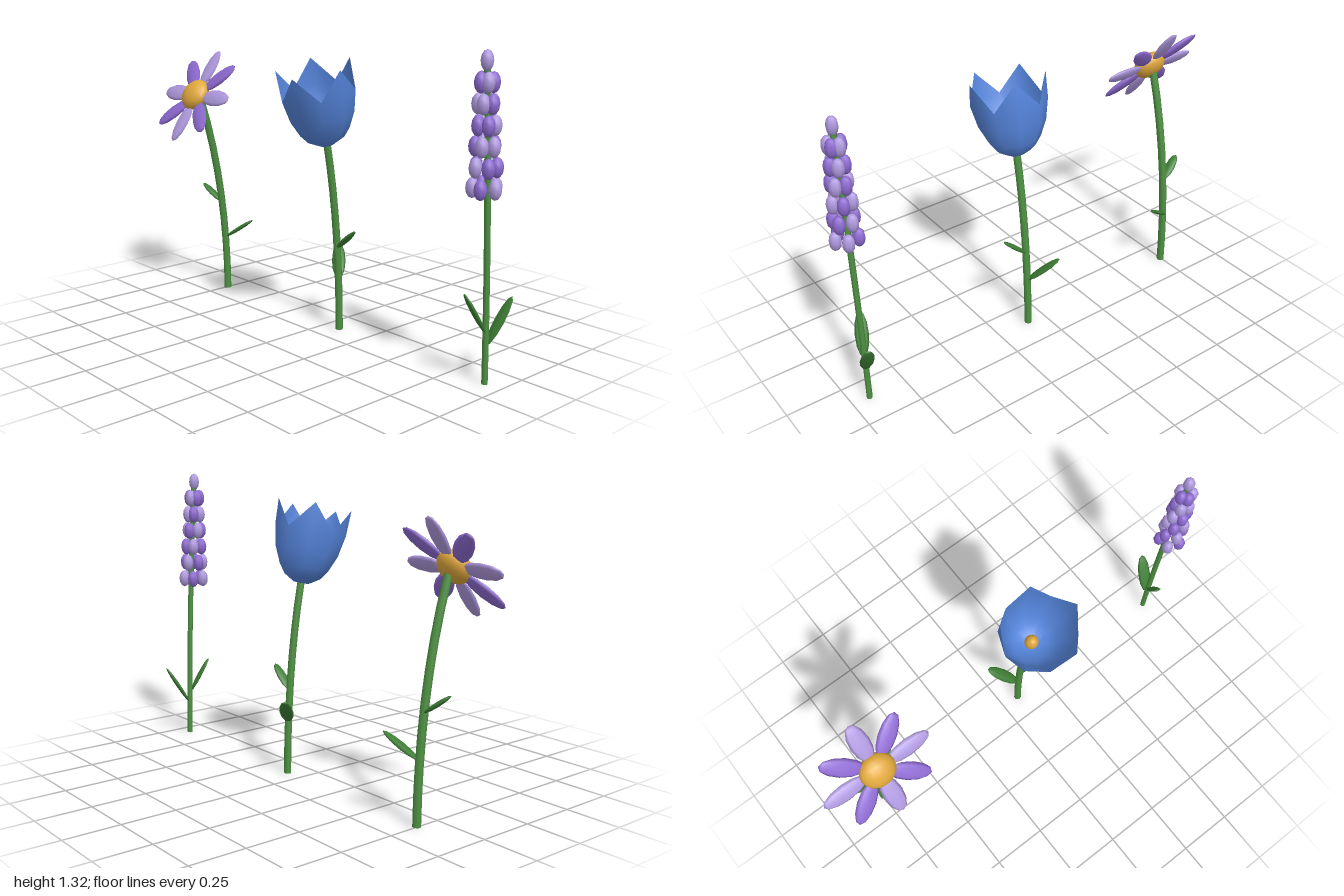
import * as THREE from 'three';
import { mergeGeometries } from 'three/addons/utils/BufferGeometryUtils.js';

const mat = (name, color) => Object.assign(new THREE.MeshStandardMaterial({ color }), { name });
const V = (x, y, z) => new THREE.Vector3(x, y, z);

export function createModel() {
  const stemGreen = mat('stem green', 0x4e9142);
  const leafGreen = mat('leaf green', 0x3d7d34);
  const paleViolet = mat('pale violet', 0xb09ae0);
  const deepViolet = mat('deep violet', 0x8e6bd2);
  const gold = mat('gold', 0xe0a83c);
  const blue = mat('tulip blue', 0x5585dc);
  blue.side = THREE.DoubleSide;

  const ball = new THREE.SphereGeometry(1, 8, 6);
  const roundBall = new THREE.SphereGeometry(1, 16, 10);

  function add(parent, name, geometry, material) {
    const mesh = new THREE.Mesh(geometry, material);
    mesh.name = name;
    parent.add(mesh);
    return mesh;
  }

  // Curved stem with a closed foot
  function stem(parent, from, control, to, radius) {
    const curve = new THREE.QuadraticBezierCurve3(from, control, to);
    const tube = new THREE.TubeGeometry(curve, 8, radius, 7);
    const foot = new THREE.CircleGeometry(radius, 7).rotateX(Math.PI / 2).translate(from.x, 0.001, from.z);
    add(parent, 'stem', mergeGeometries([tube, foot]), stemGreen);
  }

  // Flattened leaf stretched between its attachment and its tip
  function leaf(parent, from, to, width) {
    const dir = to.clone().sub(from);
    const length = dir.length();
    dir.normalize();
    const side = V(0, 1, 0).cross(dir).normalize();
    const normal = side.clone().cross(dir);
    const mesh = add(parent, 'leaf', ball, leafGreen);
    mesh.quaternion.setFromRotationMatrix(new THREE.Matrix4().makeBasis(side, dir, normal));
    mesh.position.copy(from).lerp(to, 0.5);
    mesh.scale.set(width / 2, length / 2, 0.01);
  }

  // Daisy: eight alternating petals around a flattened centre
  function daisy() {
    const g = new THREE.Group();
    g.name = 'daisy';
    const x = -0.747;
    stem(g, V(x, 0, -0.11), V(x, 0.55, -0.11), V(x, 0.985, 0.035), 0.018);
    leaf(g, V(x, 0.455, -0.085), V(-0.857, 0.54, -0.05), 0.05);
    leaf(g, V(x, 0.27, -0.105), V(-0.61, 0.37, -0.17), 0.058);

    const head = new THREE.Group();
    head.name = 'daisyHead';
    head.position.set(x, 1.006, 0.06);
    head.rotation.x = -0.61;
    for (let i = 0; i < 8; i++) {
      const a = (i * Math.PI) / 4;
      const petal = add(head, 'petal', ball, i % 2 ? deepViolet : paleViolet);
      petal.position.set(Math.cos(a) * 0.15, Math.sin(a) * 0.15, 0);
      petal.rotation.z = a - Math.PI / 2;
      petal.scale.set(0.043, 0.102, 0.014);
    }
    const centre = add(head, 'daisyCentre', roundBall, gold);
    centre.scale.set(0.078, 0.078, 0.05);
    centre.position.z = 0.006;
    g.add(head);
    return g;
  }

  // Cup wall: ten columns, the top row alternating between points and notches
  function cupGeometry() {
    const n = 10;
    const rows = [[0, 0], [0.002, 0.035], [0.03, 0.083], [0.07, 0.113], [0.14, 0.145], [0.235, 0.165]];
    const pos = [], index = [];
    for (let r = 0; r <= rows.length; r++) {
      for (let c = 0; c < n; c++) {
        const a = (c / n) * Math.PI * 2 + 0.04;
        const [h, rad] = r < rows.length ? rows[r] : c % 2 ? rows[r - 1] : [0.35, 0.17];
        pos.push(Math.cos(a) * rad, h, Math.sin(a) * rad);
        if (r === rows.length) continue;
        const d = (c + 1) % n, p = r * n + c, q = r * n + d;
        if (r < rows.length - 1) {
          if (r > 0) index.push(p, p + n, q);
          index.push(q, p + n, q + n);
        } else if (c % 2) index.push(p, q + n, q); // rising to the next point
        else index.push(p, p + n, q);              // falling from this point
      }
    }
    const geo = new THREE.BufferGeometry();
    geo.setAttribute('position', new THREE.Float32BufferAttribute(pos, 3));
    geo.setIndex(index);
    geo.computeVertexNormals();
    // unused top vertices above the notches borrow the rim normal
    return geo;
  }

  // Tulip: leaning cup with a golden stamen
  function tulip() {
    const g = new THREE.Group();
    g.name = 'tulip';
    const x = 0.087;
    stem(g, V(x, 0, -0.11), V(x, 0.5, -0.105), V(x, 0.872, -0.028), 0.017);
    leaf(g, V(x, 0.385, -0.095), V(0.203, 0.485, -0.09), 0.05);
    leaf(g, V(x, 0.24, -0.105), V(-0.018, 0.368, -0.205), 0.062);

    const head = new THREE.Group();
    head.name = 'tulipHead';
    head.position.set(x, 0.862, -0.03);
    head.rotation.x = 0.23;
    add(head, 'cup', cupGeometry(), blue);
    const stamen = add(head, 'stamen', roundBall, gold);
    stamen.position.y = 0.06;
    stamen.scale.set(0.03, 0.045, 0.03);
    g.add(head);
    return g;
  }

  // Lavender: rings of buds narrowing towards a single top bud
  function lavender() {
    const g = new THREE.Group();
    g.name = 'lavender';
    const x = 0.922;
    stem(g, V(x, 0, -0.11), V(x, 0.6, -0.1), V(x, 1.25, -0.055), 0.013);
    leaf(g, V(x, 0.215, -0.1), V(0.88, 0.385, -0.015), 0.058);
    leaf(g, V(x, 0.16, -0.11), V(0.957, 0.348, -0.22), 0.062);

    const rows = 6;
    for (let r = 0; r < rows; r++) {
      const ring = 0.048 - 0.0045 * r;
      for (let i = 0; i < 5; i++) {
        const a = (i / 5) * Math.PI * 2 + r * 0.63;
        const bud = add(g, 'bud', ball, (r + i) % 2 ? deepViolet : paleViolet);
        bud.position.set(x + Math.cos(a) * ring, 0.8 + r * 0.08, -0.066 + r * 0.0025 + Math.sin(a) * ring);
        bud.scale.set(0.026, 0.041, 0.026);
      }
    }
    const top = add(g, 'topBud', ball, paleViolet);
    top.position.set(x, 1.28, -0.052);
    top.scale.set(0.025, 0.041, 0.025);
    return g;
  }

  const model = new THREE.Group();
  model.name = 'threeFlowers';
  model.add(daisy(), tulip(), lavender());
  return model;
}
